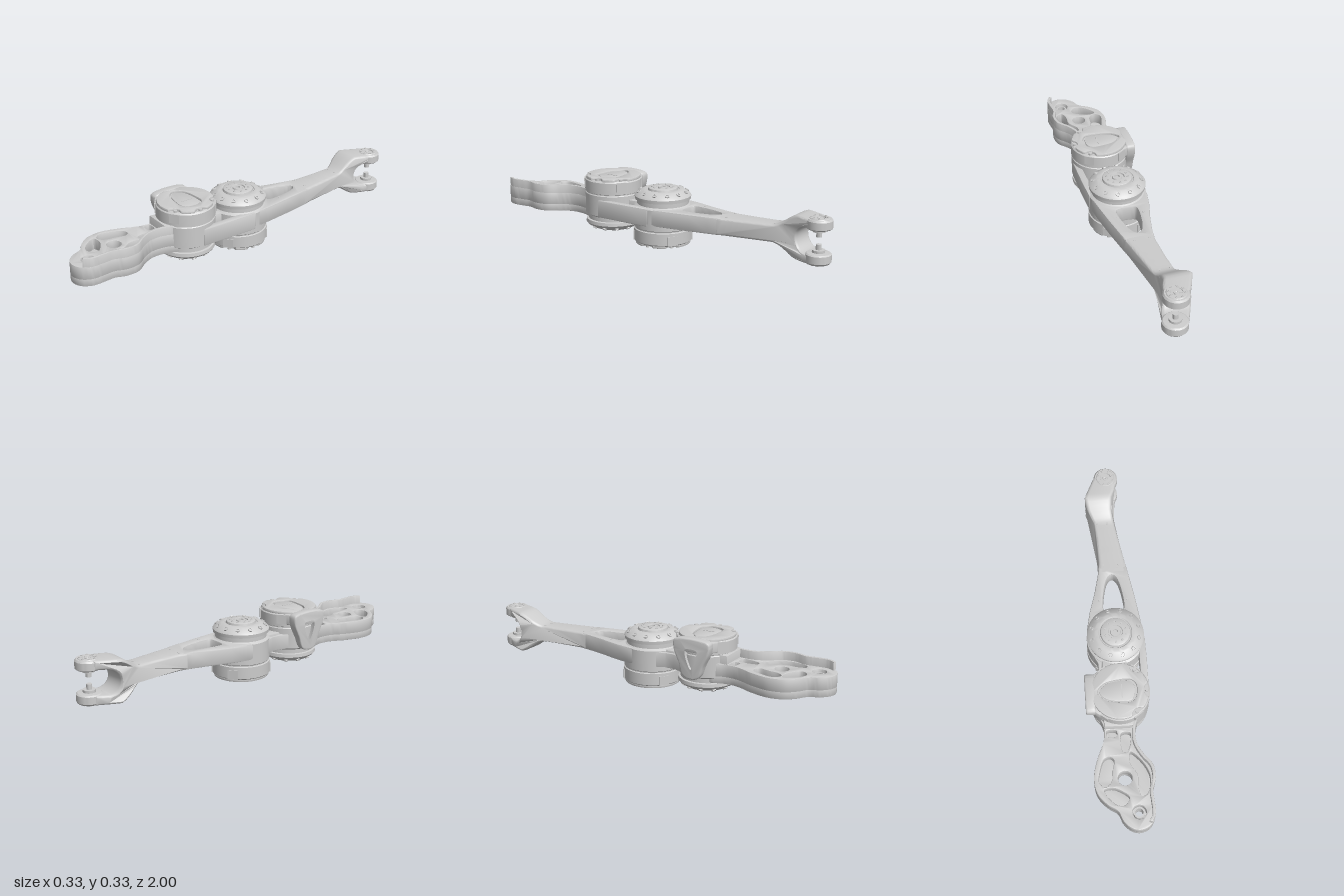
import * as THREE from 'three';
import { toCreasedNormals } from 'three/addons/utils/BufferGeometryUtils.js';

const V = (x, y) => new THREE.Vector2(x, y);
const grey = new THREE.MeshStandardMaterial({ color: 0xcccccc, side: THREE.DoubleSide });

function add(parent, name, geo, x = 0, y = 0, z = 0) {
  const mesh = new THREE.Mesh(toCreasedNormals(geo, 0.6), grey);
  mesh.name = name;
  mesh.position.set(x, y, z);
  parent.add(mesh);
  return mesh;
}

// Plan points are [x, z]; smooth ones run through a closed spline
const plan = pts => pts.map(([x, z]) => V(x, -z));
const smooth = (pts, n = 64) => new THREE.CatmullRomCurve3(
  pts.map(([x, z]) => new THREE.Vector3(x, -z, 0)), true, 'centripetal')
  .getPoints(n).slice(0, -1).map(p => V(p.x, p.y));
const circle = (x, z, r, n = 28) => Array.from({ length: n }, (_, i) => {
  const a = i / n * Math.PI * 2;
  return V(x + r * Math.cos(a), -z + r * Math.sin(a));
});

// Flat part extruded upward from y0 to y1 with rounded rims
function slab(outline, holes, y0, y1, b = 0.006) {
  const shape = new THREE.Shape(outline);
  shape.holes = holes.map(h => new THREE.Path(h));
  const geo = new THREE.ExtrudeGeometry(shape, {
    depth: y1 - y0 - 2 * b, bevelEnabled: b > 0, bevelThickness: b,
    bevelSize: b, bevelOffset: -b, bevelSegments: 2,
  });
  return geo.translate(0, 0, b).rotateX(-Math.PI / 2).translate(0, y0, 0);
}
const lathe = (pts, n = 56) => new THREE.LatheGeometry(pts.map(p => V(...p)), n);

function ring(parent, name, count, radius, y, size, height, tilt = 0) {
  for (let i = 0; i < count; i++) {
    const a = (i + 0.5) / count * Math.PI * 2;
    const bolt = add(parent, name, lathe([[0, -height], [size, -height], [size, height],
      [size * 0.55, height], [size * 0.5, height * 0.3], [0, height * 0.3]], 12),
      Math.cos(a) * radius, y, Math.sin(a) * radius);
    bolt.rotation.set(0, -a, -tilt, 'YXZ');
  }
}

// Actuator with the cover at the bottom and the output flange on top
function motor(name) {
  const g = new THREE.Group();
  g.name = name;
  add(g, 'motorBody', lathe([[0, 0.012], [0.146, 0.012], [0.154, 0.02], [0.154, 0.082], [0.148, 0.085],
    [0.148, 0.09], [0.152, 0.094], [0.152, 0.205], [0.137, 0.215], [0.137, 0.238], [0, 0.238]]));
  add(g, 'outputFlange', lathe([[0.13, 0.236], [0.148, 0.24], [0.15, 0.258], [0.142, 0.268], [0.112, 0.287],
    [0.104, 0.29], [0.088, 0.29], [0.085, 0.286], [0.08, 0.286], [0.077, 0.297], [0.072, 0.3], [0.038, 0.3],
    [0.036, 0.294], [0.027, 0.294], [0.025, 0.301], [0.013, 0.301], [0.012, 0.293], [0, 0.293]]));
  ring(g, 'flangeBolt', 12, 0.127, 0.277, 0.012, 0.006, 0.6);
  ring(g, 'hubBolt', 10, 0.056, 0.3, 0.006, 0.003);

  // Cover plate with bites along its +x side and a teardrop window
  const rim = Array.from({ length: 120 }, (_, i) => {
    const a = i / 120 * Math.PI * 2;
    const near = Math.min(...[0, 0.95, -0.95].map(c =>
      Math.abs(Math.atan2(Math.sin(a - c), Math.cos(a - c)))));
    const r = 0.148 - (near < 0.22 ? 0.025 * Math.sqrt(1 - (near / 0.22) ** 2) : 0);
    return V(r * Math.cos(a), r * Math.sin(a));
  });
  const drop = k => smooth([[-0.115, 0], [-0.08, -0.042], [0, -0.06], [0.06, -0.058], [0.082, -0.03],
    [0.085, 0.03], [0.06, 0.058], [0, 0.06], [-0.08, 0.042]].map(([x, z]) => [-0.015 + (x + 0.015) * k, z * k]));
  add(g, 'coverPlate', slab(rim, [drop(1)], 0, 0.02, 0.005));
  add(g, 'coverInset', slab(drop(0.9), [], 0.005, 0.02, 0.003));
  add(g, 'coverRib', new THREE.BoxGeometry(0.005, 0.008, 0.07), 0.01, 0.007, 0);
  for (const a of [0, 0.95, -0.95, 2.2, -2.2])
    add(g, 'coverBolt', new THREE.CylinderGeometry(0.01, 0.01, 0.012, 14),
      Math.cos(a) * 0.137, 0.008, Math.sin(a) * 0.137);
  // Raised clips around the cover wall
  for (const a of [0.95, -0.95, 2.2, -2.2]) {
    const clip = add(g, 'coverClip', new THREE.BoxGeometry(0.014, 0.05, 0.055),
      Math.cos(a) * 0.15, 0.042, Math.sin(a) * 0.15);
    clip.rotation.y = -a;
  }
  return g;
}

function upperLink(root) {
  const outline = smooth([[-0.1, 0.38], [-0.082, 0.47], [-0.088, 0.54], [-0.125, 0.63], [-0.148, 0.73],
    [-0.132, 0.81], [-0.085, 0.865], [-0.035, 0.9], [-0.012, 0.95], [0.025, 0.987], [0.07, 1.0], [0.122, 0.98],
    [0.15, 0.93], [0.148, 0.86], [0.145, 0.81], [0.163, 0.75], [0.155, 0.68], [0.11, 0.62], [0.08, 0.56],
    [0.078, 0.49], [0.1, 0.38]], 110);
  const bores = r => [circle(-0.055, 0.565, r), circle(0.01, 0.735, 0.037), circle(0.07, 0.91, r)];
  const pockets = [
    [[-0.09, 0.63], [-0.06, 0.62], [-0.04, 0.64], [-0.05, 0.69], [-0.06, 0.75], [-0.09, 0.775], [-0.122, 0.75], [-0.115, 0.69]],
    [[-0.1, 0.79], [-0.06, 0.78], [-0.01, 0.8], [0.025, 0.83], [0.02, 0.855], [-0.01, 0.875], [-0.05, 0.86]],
    [[0.045, 0.6], [0.075, 0.62], [0.12, 0.68], [0.138, 0.74], [0.118, 0.82], [0.09, 0.83], [0.075, 0.79], [0.075, 0.72], [0.04, 0.66]],
    [[0.005, 0.5], [0.05, 0.5], [0.05, 0.55], [0.03, 0.6], [0.01, 0.6]],
    [[-0.07, 0.485], [-0.02, 0.485], [-0.02, 0.515], [-0.065, 0.515]],
  ].map(p => smooth(p, 36));
  add(root, 'upperLinkFloor', slab(outline, bores(0.02), 0.09, 0.135));
  add(root, 'upperLinkWalls', slab(outline, [...bores(0.036), ...pockets], 0.125, 0.195, 0.004));
  for (const [x, z] of [[-0.055, 0.565], [0.07, 0.91]])
    add(root, 'bushing', lathe([[0.02, 0.1], [0.02, 0.18], [0.029, 0.18], [0.029, 0.1]], 28), x, 0, z);
  // Taller thin wall following the +x edge
  const edge = [[0.1, 0.42], [0.078, 0.49], [0.08, 0.56], [0.11, 0.62], [0.155, 0.68], [0.163, 0.75],
    [0.145, 0.81], [0.148, 0.86], [0.15, 0.93], [0.13, 0.97]];
  const curve = new THREE.CatmullRomCurve3(edge.map(([x, z]) => new THREE.Vector3(x, 0, z)), false, 'centripetal');
  const outer = [], inner = [];
  for (let i = 0; i <= 50; i++) {
    const p = curve.getPoint(i / 50), t = curve.getTangent(i / 50);
    outer.push([p.x - 0.001, p.z]);
    inner.unshift([p.x - t.z * 0.016, p.z + t.x * 0.016]);
  }
  add(root, 'upperLinkSideWall', slab(plan([...outer, ...inner]), [], 0.12, 0.24, 0.003));
  add(root, 'upperLinkNeck', slab(plan([[-0.082, 0.36], [-0.08, 0.475], [0.08, 0.475], [0.09, 0.36]]), [], 0.1, 0.24));
}

function forearm(root) {
  // Wide end around the lower actuator with a tapered window
  const slot = smooth([[-0.04, -0.18], [0.06, -0.18], [0.066, -0.21], [0.036, -0.36], [0.01, -0.382],
    [-0.016, -0.36], [-0.046, -0.21]], 48);
  add(root, 'forearmRoot', slab(plan([[-0.143, 0], [-0.138, -0.08], [-0.12, -0.17], [-0.088, -0.28], [-0.065, -0.38],
    [-0.056, -0.43], [0.092, -0.43], [0.106, -0.36], [0.125, -0.26], [0.147, -0.12], [0.163, 0]]), [slot], 0.12, 0.21, 0.01));

  // Beam and fork: side profile extruded across, then fitted between left and right edges
  const edges = [[0.36, -0.07, 0.11], [0.45, -0.055, 0.088], [0.6, -0.06, 0.06], [0.7, -0.068, 0.042],
    [0.76, -0.098, 0.032], [0.82, -0.112, 0.036], [0.87, -0.09, 0.056], [0.95, -0.052, 0.074]];
  const span = u => {
    const i = Math.min(edges.length - 2, Math.max(0, edges.findIndex(e => e[0] > u) - 1));
    const [a, b] = [edges[i], edges[i + 1]], t = (u - a[0]) / (b[0] - a[0]);
    return [1, 2].map(k => THREE.MathUtils.lerp(a[k], b[k], t));
  };
  const half = u => 0.045 + 0.068 * THREE.MathUtils.smoothstep(u, 0.69, 0.83);
  const us = Array.from({ length: 28 }, (_, i) => 0.4 + i * 0.02);
  const bottom = us.map(u => V(u, 0.165 - half(u)));
  const top = us.map(u => V(u, 0.165 + half(u))).reverse();
  const gap = Array.from({ length: 17 }, (_, i) => {
    const a = -Math.PI / 2 - i / 16 * Math.PI;
    return V(0.885 + 0.064 * Math.cos(a), 0.165 + 0.064 * Math.sin(a));
  });
  const geo = new THREE.ExtrudeGeometry(new THREE.Shape(
    [...bottom, V(0.94, 0.101), V(0.91, 0.101), ...gap, V(0.91, 0.229), V(0.94, 0.229), ...top]), {
    depth: 1.5, bevelThickness: 0.25, bevelSize: 0.012, bevelOffset: -0.012, bevelSegments: 3,
  });
  geo.translate(0, 0, -0.75).rotateY(Math.PI / 2);
  const p = geo.attributes.position;
  for (let i = 0; i < p.count; i++) {
    const [l, r] = span(-p.getZ(i));
    p.setX(i, (l + r) / 2 + p.getX(i) * (r - l) / 2);
  }
  add(root, 'forearmFork', geo);

  // Round fork ends with inward bearing pins
  for (const turn of [0, Math.PI]) {
    const tip = new THREE.Group();
    tip.name = 'forkPivot';
    tip.position.set(0.01, 0.165, -0.935);
    tip.rotation.x = turn;
    add(tip, 'pivotDisc', lathe([[0, 0.018], [0.014, 0.018], [0.014, 0.045], [0.032, 0.045], [0.032, 0.058],
      [0.058, 0.06], [0.065, 0.066], [0.065, 0.103], [0.058, 0.112], [0.05, 0.112], [0.047, 0.116], [0.03, 0.116],
      [0.028, 0.11], [0.016, 0.11], [0.014, 0.116], [0.006, 0.116], [0, 0.11]], 36));
    ring(tip, 'pivotBolt', 8, 0.039, 0.116, 0.006, 0.003);
    root.add(tip);
  }
  for (const [x, z] of [[-0.05, -0.69], [0.005, -0.69], [-0.03, -0.44], [0.05, -0.44], [-0.065, -0.235], [0.085, -0.235]])
    for (const y of [0.12, 0.21])
      add(root, 'forearmScrew', new THREE.CylinderGeometry(0.006, 0.006, 0.004, 10), x, y, z);
}

export function createModel() {
  const root = new THREE.Group();
  root.name = 'jointedLeg';

  const knee = motor('kneeMotor');
  knee.position.set(0.008, 0, -0.017);
  const hip = motor('hipMotor');
  hip.position.set(0.01, 0.325, 0.313);
  hip.rotation.x = Math.PI;
  root.add(knee, hip);

  upperLink(root);
  forearm(root);

  // Bridge between the two actuators and strap along the +x side
  add(root, 'motorBridge', slab(plan([[-0.07, 0.05], [-0.07, 0.24], [0.06, 0.24], [0.06, 0.05]]), [], 0.11, 0.21));
  add(root, 'sideStrap', slab(plan([[0.125, -0.02], [0.13, 0.3], [0.164, 0.3], [0.166, 0.1], [0.163, -0.02]]), [], 0.115, 0.21));
  add(root, 'innerStrap', slab(plan([[-0.125, 0.05], [-0.09, 0.12], [-0.09, 0.17], [-0.12, 0.25], [-0.06, 0.25],
    [-0.075, 0.14], [-0.06, 0.05]]), [], 0.12, 0.2, 0.003));

  // Slotted guard hanging from the hip cover on the -x side
  const guard = new THREE.Shape(smooth([[-0.1, -0.31], [-0.06, -0.323], [0.06, -0.323], [0.1, -0.31], [0.1, -0.26],
    [0.07, -0.19], [0.045, -0.125], [0, -0.11], [-0.045, -0.125], [-0.07, -0.19], [-0.1, -0.26]]));
  guard.holes.push(new THREE.Path(smooth([[-0.04, -0.27], [0, -0.28], [0.04, -0.27], [0.03, -0.2], [0, -0.155], [-0.03, -0.2]], 40)));
  const plate = new THREE.ExtrudeGeometry(guard, { depth: 0.035, bevelThickness: 0.008, bevelSize: 0.008, bevelOffset: -0.008, bevelSegments: 3 });
  add(root, 'sideGuard', plate.rotateY(-Math.PI / 2), -0.125, 0, 0.313);
  add(root, 'guardRoof', slab(plan([[-0.165, 0.24], [-0.168, 0.385], [-0.1, 0.43], [-0.06, 0.43], [-0.06, 0.2], [-0.1, 0.2]]),
    [], 0.255, 0.312));
  return root;
}
